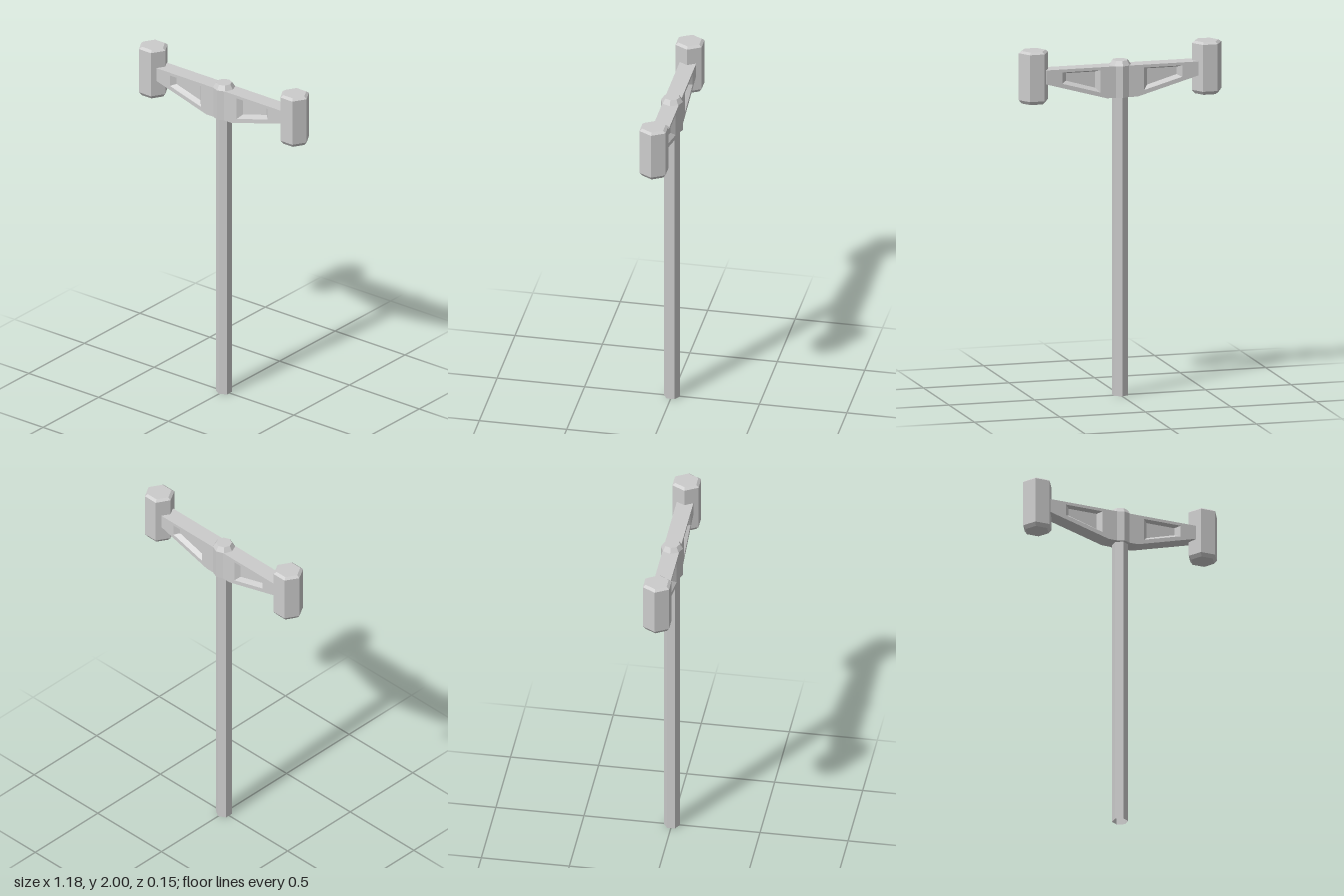
import * as THREE from 'three';
import { mergeGeometries } from 'three/addons/utils/BufferGeometryUtils.js';

const material = new THREE.MeshStandardMaterial({ color: 0xcccccc, flatShading: true });
const openMaterial = material.clone();
openMaterial.side = THREE.DoubleSide;

function part(name, geometry, mat = material) {
  const mesh = new THREE.Mesh(geometry, mat);
  mesh.name = name;
  return mesh;
}

// Faceted solid of revolution from [radius, y] pairs, bottom to top
function faceted(profile, sides, start = 0) {
  return new THREE.LatheGeometry(profile.map(([r, y]) => new THREE.Vector2(r, y)), sides, start);
}

// Band of quads between two matching counter-clockwise loops at depths za and zb
function band(loopA, za, loopB, zb) {
  const pos = [];
  loopA.forEach(([ax, ay], i) => {
    const j = (i + 1) % loopA.length;
    const a = [ax, ay, za], b = [...loopA[j], za], c = [...loopB[j], zb], d = [...loopB[i], zb];
    pos.push(...a, ...b, ...c, ...a, ...c, ...d);
  });
  return new THREE.BufferGeometry().setAttribute('position', new THREE.Float32BufferAttribute(pos, 3));
}

// Flat face filling a loop, with optional holes
function face(loop, z, holes = []) {
  const points = (l) => l.map(([x, y]) => new THREE.Vector2(x, y));
  const shape = new THREE.Shape(points(loop));
  shape.holes = holes.map((h) => new THREE.Path(points(h)));
  const g = new THREE.ShapeGeometry(shape).toNonIndexed().translate(0, 0, z);
  g.deleteAttribute('uv');
  g.deleteAttribute('normal');
  return g;
}

const mirror = (loop) => loop.map(([x, y]) => [-x, y]).reverse();

function crossArm() {
  const half = 0.047, floorZ = 0.022;
  const outline = [[-0.09, 1.71], [0.09, 1.71], [0.445, 1.81], [0.445, 1.89], [-0.445, 1.89], [-0.445, 1.81]];
  const opening = [[0.127, 1.745], [0.35, 1.808], [0.35, 1.873], [0.127, 1.873]];
  const floor = [[0.152, 1.77], [0.323, 1.82], [0.323, 1.863], [0.152, 1.863]];

  // Front side with two bevelled recesses, repeated on the back by a half turn
  const side = [face(outline, half, [opening, mirror(opening)])];
  for (const [o, f] of [[opening, floor], [mirror(opening), mirror(floor)]]) {
    side.push(band(o, half, f, floorZ), face(f, floorZ));
  }
  const front = mergeGeometries(side);
  const back = front.clone().rotateY(Math.PI);
  const arm = mergeGeometries([front, back, band(outline, -half, outline, half)]);
  arm.computeVertexNormals();
  return arm;
}

export function createModel() {
  const model = new THREE.Group();
  model.name = 'doubleHeadedHammer';

  // Six-sided shaft, open at the bottom
  const shaft = new THREE.CylinderGeometry(0.046, 0.046, 1.72, 6, 1, true).translate(0, 0.86, 0);
  model.add(part('shaft', shaft, openMaterial));

  // Eight-sided collar with a bevelled cap
  model.add(part('collar', faceted(
    [[0, 1.71], [0.063, 1.71], [0.063, 1.89], [0.045, 1.918], [0, 1.918]], 8)));

  model.add(part('crossArm', crossArm()));

  // Six-sided heads, bevelled at both ends
  for (const [name, x] of [['leftHead', 0.506], ['rightHead', -0.506]]) {
    const head = part(name, faceted(
      [[0, 1.7], [0.07, 1.7], [0.086, 1.72], [0.086, 1.988], [0.069, 2], [0, 2]], 6, Math.PI / 6));
    head.position.x = x;
    model.add(head);
  }
  return model;
}
